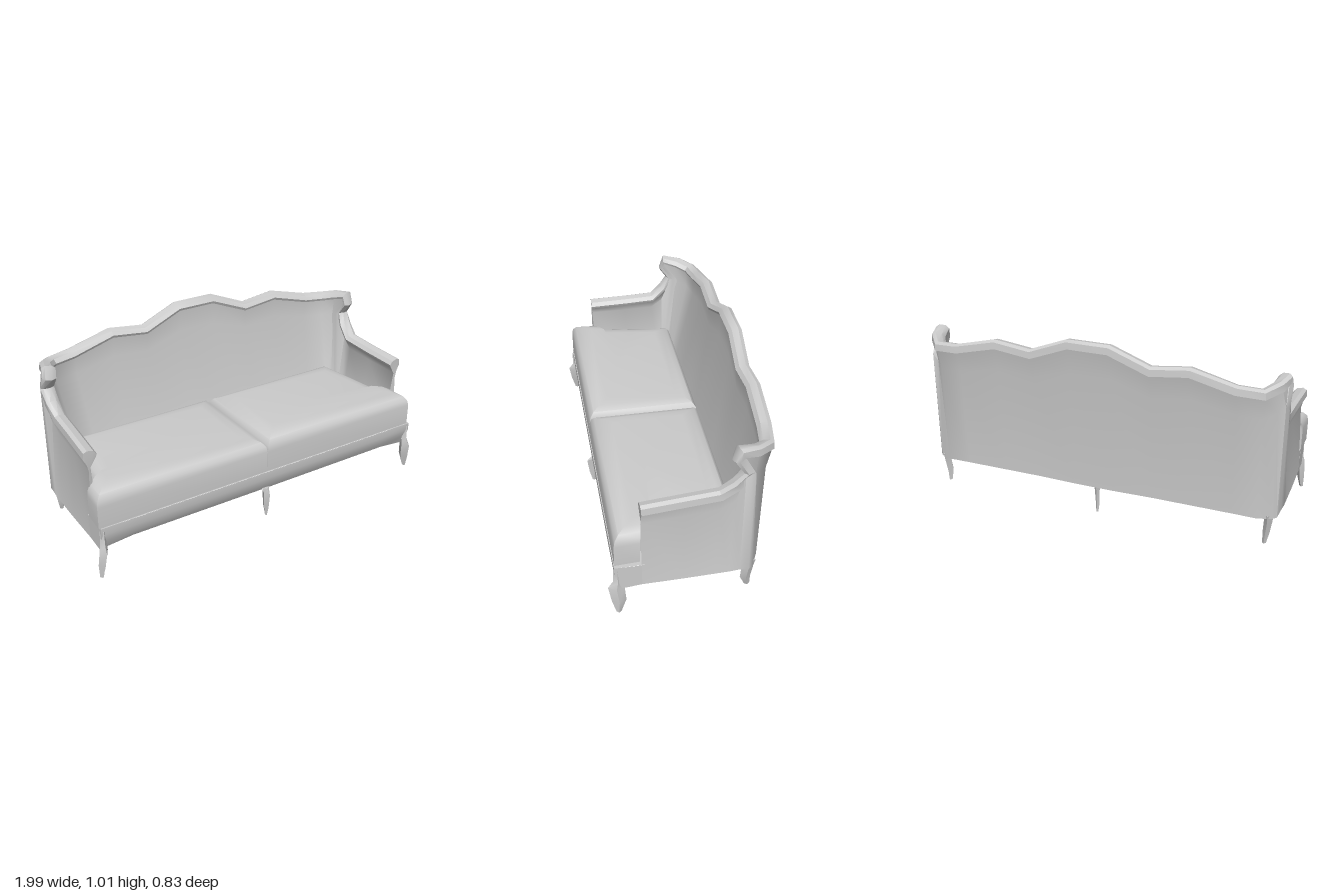
import * as THREE from 'three';
import { toCreasedNormals } from 'three/addons/utils/BufferGeometryUtils.js';

const V = (x, y, z) => new THREE.Vector3(x, y, z);

// Skin a list of cross-sections; optionally close each ring and cap both ends.
function loft(sections, { closed = false, caps = [], crease = 0.75 } = {}) {
  const pos = [];
  const tri = (a, b, c) => pos.push(...a.toArray(), ...b.toArray(), ...c.toArray());
  const n = sections[0].length;
  for (let i = 0; i < sections.length - 1; i++) {
    const a = sections[i], b = sections[i + 1];
    for (let j = 0; j < (closed ? n : n - 1); j++) {
      const k = (j + 1) % n;
      tri(a[j], a[k], b[j]);
      tri(a[k], b[k], b[j]);
    }
  }
  caps.forEach(({ index, centre }) => {
    const ring = sections[index];
    ring.forEach((p, j) => {
      const q = ring[(j + 1) % n];
      index === 0 ? tri(centre, q, p) : tri(centre, p, q);
    });
  });
  const geo = new THREE.BufferGeometry();
  geo.setAttribute('position', new THREE.Float32BufferAttribute(pos, 3));
  return toCreasedNormals(geo, crease);
}

// Half of the horseshoe shell, from arm front to back centre:
// outer hem x, y, z | trim x, y, z | inner foot x, z
const STATIONS = [
  [0.98, 0.162, 0.255, 0.955, 0.632, 0.258, 0.93, 0.24],
  [0.985, 0.17, 0.05, 0.945, 0.642, 0.05, 0.90, 0.05],
  [0.985, 0.174, -0.10, 0.94, 0.652, -0.12, 0.885, -0.10],
  [0.985, 0.176, -0.17, 0.95, 0.71, -0.19, 0.875, -0.15],
  [0.98, 0.175, -0.225, 0.955, 0.78, -0.235, 0.87, -0.17],
  [0.975, 0.165, -0.25, 0.955, 0.85, -0.19, 0.865, -0.18],
  [0.97, 0.158, -0.275, 0.95, 0.895, -0.20, 0.86, -0.19],
  [0.95, 0.16, -0.30, 0.93, 0.88, -0.28, 0.84, -0.205],
  [0.88, 0.168, -0.335, 0.875, 0.86, -0.35, 0.80, -0.215],
  [0.75, 0.172, -0.34, 0.75, 0.87, -0.37, 0.70, -0.22],
  [0.52, 0.172, -0.34, 0.52, 0.93, -0.375, 0.52, -0.22],
  [0.32, 0.172, -0.34, 0.32, 0.905, -0.375, 0.32, -0.22],
  [0.11, 0.168, -0.34, 0.11, 0.99, -0.385, 0.11, -0.22],
];

function shellSections() {
  const half = STATIONS.map(([bx, by, bz, tx, ty, tz, ix, iz], i) => {
    const hem = V(bx, by, bz), top = V(tx, ty, tz), foot = V(ix, 0.3, iz);
    const midOut = hem.clone().lerp(top, 0.8), midIn = foot.clone().lerp(top, 0.8);
    // the wing overhangs a notch above the arm
    if (i > 3 && i < 7) {
      midOut.set(bx, 0.77, bz);
      midIn.set((ix + tx) / 2, 0.77, bz);
    }
    return { hem, top, foot, midOut, midIn };
  });
  const flip = (s) => Object.fromEntries(
    Object.entries(s).map(([k, p]) => [k, V(-p.x, p.y, p.z)]));
  const all = [...half, ...half.slice().reverse().map(flip)];
  return all.map((s, i) => {
    const t = all[Math.min(i + 1, all.length - 1)].top.clone()
      .sub(all[Math.max(i - 1, 0)].top).normalize();
    const out = s.hem.clone().sub(s.foot).setY(0).normalize();
    out.addScaledVector(t, -out.dot(t)).normalize();
    const up = out.clone().cross(t);
    const at = (o, u) => s.top.clone().addScaledVector(out, o).addScaledVector(up, u);
    return {
      outer: [s.hem, s.midOut, at(0.02, -0.026)],
      trim: [at(0.02, -0.026), at(0.03, -0.024), at(0.027, 0.012), at(0.008, 0.022),
        at(-0.025, 0.014), at(-0.042, -0.006), at(-0.036, -0.02)],
      inner: [at(-0.036, -0.02), s.midIn, s.foot],
    };
  });
}

// Hollow T-shaped seat cushion, open below, with a softly rounded crown.
// side is +1 or -1; sideEdge lists the plan corners along the arm.
function cushion(side, sideEdge) {
  const plan = [[0.001, -0.22], ...sideEdge, [0.968, 0.26], [0.975, 0.385], [0.001, 0.385]];
  const ring = (inset, y, pts = plan) => pts.map(([x, z]) => V(
    side * (0.49 + (x - 0.49) * (1 - inset / 0.48)) - 0.012, y,
    0.08 + (z - 0.08) * (1 - inset / 0.3)));
  const levels = [[0, 0.292], [0, 0.41], [0.006, 0.44], [0.025, 0.464], [0.06, 0.479], [0.11, 0.485]];
  const rings = levels.map(([inset, y]) => ring(inset, y));
  if (side > 0) rings.forEach((r) => r.reverse());
  return loft(rings, {
    closed: true, crease: 0.8,
    caps: [{ index: 5, centre: ring(0.11, 0.486, [[0.48, 0.2]])[0] }],
  });
}

// Flat-sided curved leg; rows are y, back z, front z, half width, x shift.
function leg(x, rows) {
  const s = Math.sign(x) || 1;
  const rings = rows.map(([y, z0, z1, w, shift]) => {
    const cx = x + s * shift, m = (z0 + z1) / 2;
    return [V(cx - w, y, m), V(cx, y, z1), V(cx + w, y, m), V(cx, y, z0)];
  });
  const last = rings.length - 1;
  const mid = (r) => r[0].clone().add(r[2]).multiplyScalar(0.5);
  return loft(rings, {
    closed: true, crease: 0.5,
    caps: [{ index: 0, centre: mid(rings[0]) }, { index: last, centre: mid(rings[last]) }],
  });
}

export function createModel() {
  const sofa = new THREE.Group();
  sofa.name = 'sofa';
  const fabric = new THREE.MeshStandardMaterial({ color: 0xcccccc, side: THREE.DoubleSide });
  fabric.name = 'light grey upholstery';
  const add = (name, geo) => {
    const mesh = new THREE.Mesh(geo, fabric);
    mesh.name = name;
    sofa.add(mesh);
  };

  // Arms, wings and back as one continuous shell
  const shell = shellSections();
  add('outerShell', loft(shell.map((s) => s.outer), { crease: 1.0 }));
  add('crestTrim', loft(shell.map((s) => s.trim), { crease: 0.6 }));
  add('innerUpholstery', loft(shell.map((s) => s.inner), { crease: 1.0 }));
  for (const s of [shell[0], shell[shell.length - 1]]) {
    const ring = [...s.outer, ...s.trim.slice(1, -1), ...s.inner];
    const centre = s.outer[1].clone().lerp(s.inner[1], 0.5);
    add('armFront', loft([ring], { caps: [{ index: 0, centre }] }));
  }

  // Front rail: a sheet from the seat ledge over the front and round both corners
  const railColumn = (x, z, hemY, tuck) => [V(x, 0.29, z), V(x, 0.25, z),
    V(x, 0.205, z - tuck * 0.4), V(x, hemY, z - tuck)];
  add('frontRail', loft([
    railColumn(-0.98, 0.255, 0.162, 0), railColumn(-0.978, 0.388, 0.15, 0.035),
    railColumn(-0.8, 0.39, 0.172, 0.03), railColumn(0, 0.39, 0.17, 0.03),
    railColumn(0.8, 0.39, 0.172, 0.03), railColumn(0.978, 0.388, 0.15, 0.035),
    railColumn(0.98, 0.255, 0.162, 0),
  ], { crease: 0.7 }));
  add('seatLedge', loft([-0.978, 0.978].map((x) => [V(x, 0.29, 0.24), V(x, 0.29, 0.389)])));

  // The cushion on the model's left stops short of its arm
  add('leftCushion', cushion(1, [[0.832, -0.22], [0.87, 0.02], [0.9, 0.25]]));
  add('rightCushion', cushion(-1, [[0.85, -0.22], [0.885, 0.02], [0.91, 0.25]]));

  for (const s of [1, -1]) {
    add('frontLeg', leg(s * 0.965, [[0.27, 0.355, 0.393, 0.014, 0], [0.19, 0.35, 0.395, 0.018, 0],
      [0.155, 0.34, 0.42, 0.022, 0.004], [0.07, 0.333, 0.405, 0.02, 0.012], [0, 0.36, 0.385, 0.01, 0.02]]));
    add('backLeg', leg(s * 0.93, [[0.18, -0.32, -0.24, 0.024, 0], [0.14, -0.31, -0.25, 0.022, 0],
      [0.06, -0.30, -0.247, 0.018, -0.008], [0.005, -0.30, -0.272, 0.01, -0.012]]));
  }
  add('centreFrontLeg', leg(-0.01, [[0.18, 0.345, 0.385, 0.022, 0], [0.15, 0.34, 0.41, 0.014, 0],
    [0.07, 0.345, 0.40, 0.011, 0], [0.01, 0.365, 0.385, 0.006, 0]]));
  add('centreBackLeg', leg(-0.01, [[0.18, -0.338, -0.30, 0.02, 0], [0.14, -0.33, -0.305, 0.014, 0],
    [0.06, -0.325, -0.30, 0.011, 0], [0.01, -0.325, -0.312, 0.006, 0]]));
  return sofa;
}
